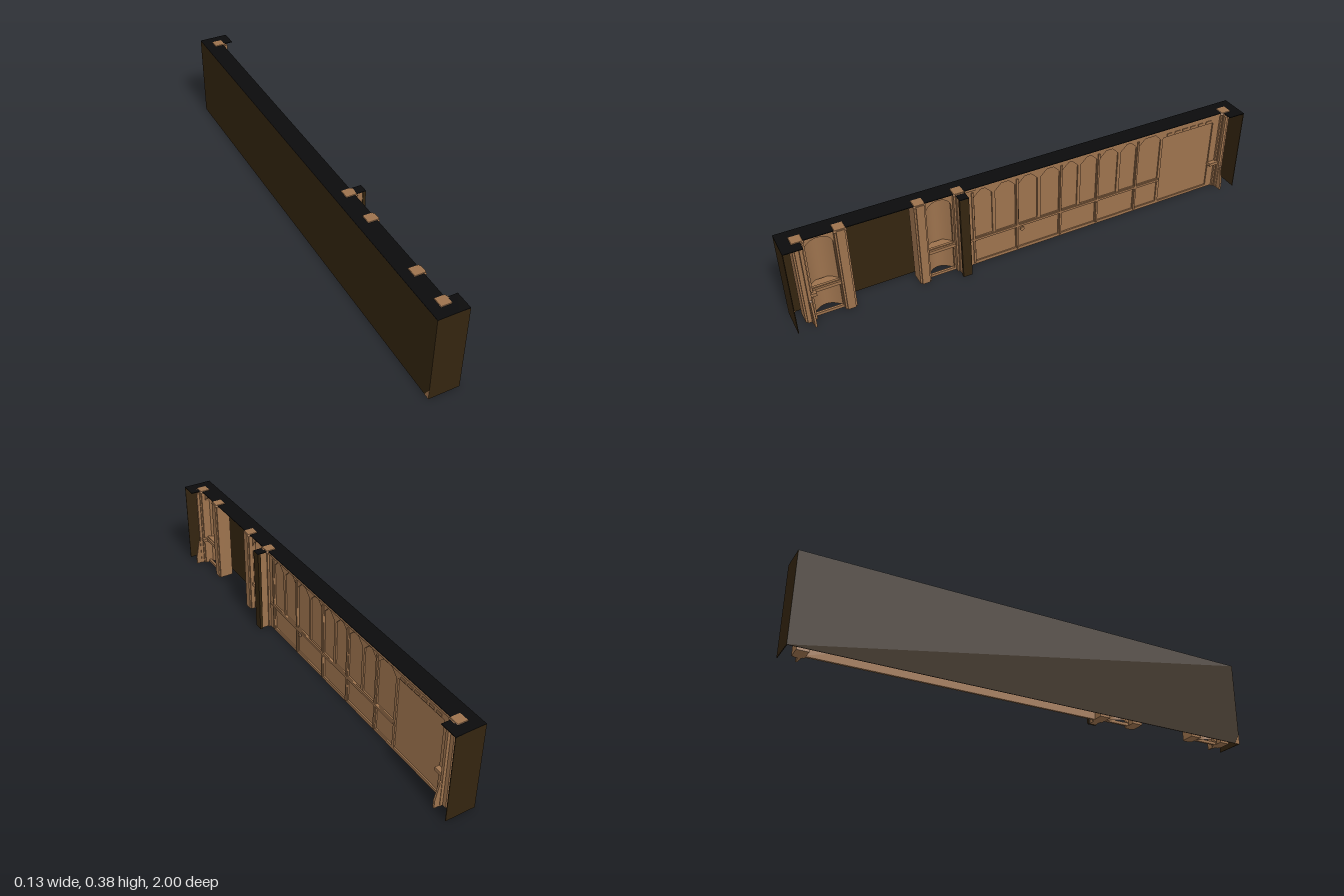
import * as THREE from 'three';

export function createModel() {
  const model = new THREE.Group();
  const mat = (name, color, side = THREE.FrontSide) => {
    const m = new THREE.MeshStandardMaterial({ color, side });
    m.name = name;
    return m;
  };
  const brown = mat('warm brown', 0x9c724d, THREE.DoubleSide);
  const dark = mat('dark brown', 0x33240f, THREE.DoubleSide);
  const black = mat('black', 0x0b0b0c);

  const add = (name, geometry, material) => {
    const mesh = new THREE.Mesh(geometry, material);
    mesh.name = name;
    model.add(mesh);
    return mesh;
  };
  // Box given by its limits on each axis
  const box = (name, material, x0, x1, y0, y1, z0, z1) => {
    const g = new THREE.BoxGeometry(x1 - x0, y1 - y0, z1 - z0);
    g.translate((x0 + x1) / 2, (y0 + y1) / 2, (z0 + z1) / 2);
    return add(name, g, material);
  };
  // Plate drawn as [z, y] outlines and extruded along x
  const path = (pts, Type) => new Type(pts.map(([z, y]) => new THREE.Vector2(-z, y)));
  const plate = (name, material, outline, holes, x0, depth) => {
    const shape = path(outline, THREE.Shape);
    shape.holes = holes.map((h) => path(h, THREE.Path));
    const g = new THREE.ExtrudeGeometry(shape, { depth, bevelEnabled: false });
    g.rotateY(Math.PI / 2);
    g.translate(x0, 0, 0);
    return add(name, g, material);
  };
  const rect = (z0, z1, y0, y1) => [[z0, y0], [z1, y0], [z1, y1], [z0, y1]];
  // Opening with clipped upper corners
  const clipped = (z0, z1, y0, y1, c) =>
    [[z0, y0], [z1, y0], [z1, y1 - c], [z1 - c, y1], [z0 + c, y1], [z0, y1 - c]];

  // Shell: back, ends and top, open underneath
  const W = 0.0625, H = 0.376;
  box('backWall', dark, -W, -W + 0.003, 0, H - 0.001, -1, 1);
  for (const s of [-1, 1]) {
    const inner = s * 0.997, outer = s;
    box('endWall', dark, -W, W, 0, H - 0.001, Math.min(inner, outer), Math.max(inner, outer));
    const a = s * 0.925;
    box('endTop', black, 0.015, W, H - 0.003, H, Math.min(a, outer), Math.max(a, outer));
  }
  box('topPlate', black, -W, 0.015, H - 0.003, H, -1, 1);
  plate('cornerChip', brown, [[1, 0], [1, 0.045], [0.975, 0]], [], -W - 0.0005, 0.005);

  // Main wall sheet with a raised frame of ribs
  box('mainWall', brown, 0.001, 0.005, 0, 0.373, -0.93, 0.3);
  const major = [0.255, 0.063, -0.135, -0.31, -0.5, -0.62];
  const ribs = [0.255, 0.165, 0.063, -0.035, -0.135, -0.22, -0.31, -0.41, -0.5, -0.62];
  const holes = [rect(-0.882, -0.625, 0.012, 0.335)];
  for (let i = 0; i < major.length - 1; i++) {
    holes.push(rect(major[i + 1] + 0.007, major[i] - 0.007, 0.014, 0.119));
  }
  for (let i = 0; i < ribs.length - 1; i++) {
    holes.push(clipped(ribs[i + 1] + 0.007, ribs[i] - 0.007, 0.133, 0.358, 0.028));
  }
  plate('wallFrame', brown, rect(-0.92, 0.3, 0, 0.373), holes, 0.005, 0.006);
  // Heavier ribs and rail
  for (const z of major.slice(0, 5)) {
    box('mainRib', brown, 0.011, 0.016, 0.01, 0.355, z - 0.004, z + 0.004);
  }
  box('wallRail', brown, 0.011, 0.016, 0.121, 0.131, -0.62, 0.28);
  box('wallTopRail', brown, 0.005, 0.015, 0.364, 0.373, -0.92, 0.3);
  for (let i = 0; i < 6; i++) {
    const z = -0.655 - i * 0.04;
    box('topStud', brown, 0.011, 0.014, 0.341, 0.351, z - 0.013, z + 0.013);
  }
  // Small round fitting on the lower rail
  const knob = new THREE.CylinderGeometry(0.009, 0.009, 0.006, 12);
  knob.rotateZ(Math.PI / 2);
  knob.translate(0.013, 0.105, 0.042);
  add('wallKnob', knob, brown);

  // Two hollow bays between columns, each with an arched frame
  for (const [z0, z1] of [[0.335, 0.452], [0.798, 0.92]]) {
    const mid = (z0 + z1) / 2, half = (z1 - z0) / 2, r = half - 0.006;
    const arch = [[mid - r, 0.14], [mid + r, 0.14]];
    for (let i = 0; i <= 12; i++) {
      const t = (i / 12) * Math.PI;
      arch.push([mid + r * Math.cos(t), 0.315 + 0.045 * Math.sin(t)]);
    }
    plate('bayFrame', brown, rect(z0, z1, 0, 0.373),
      [arch, rect(mid - r, mid + r, 0.012, 0.122)], -0.006, 0.01);
    // Hollow back, curved in plan
    const hollow = new THREE.PlaneGeometry(half * 2, 0.373, 12, 1);
    hollow.rotateY(Math.PI / 2);
    const p = hollow.attributes.position;
    for (let i = 0; i < p.count; i++) {
      const u = p.getZ(i) / half;
      p.setXYZ(i, -0.006 - 0.04 * (1 - u * u), p.getY(i) + 0.1865, p.getZ(i) + mid);
    }
    hollow.computeVertexNormals();
    add('bayHollow', hollow, brown);
    box('bayRail', brown, -0.04, 0.012, 0.122, 0.136, z0, z1);
  }

  // Columns with caps standing just above the top
  for (const z of [0.935, 0.778, 0.472, 0.312, -0.937]) {
    box('column', brown, -0.04, 0.02, 0, 0.373, z - 0.023, z + 0.023);
    box('columnFace', brown, 0.02, 0.026, 0, 0.376, z - 0.016, z + 0.016);
    const cap = new THREE.CylinderGeometry(0.029, 0.035, 0.008, 4);
    cap.rotateY(Math.PI / 4);
    cap.translate(0, 0.3745, z);
    add('columnCap', cap.toNonIndexed(), brown);
  }

  // Thin wings and feet at both ends
  for (const s of [-1, 1]) {
    const z = s * 0.93;
    box('endWing', brown, 0, 0.038, 0, 0.365, z - 0.006, z + 0.006);
    const foot = new THREE.Shape([[0.03, 0], [0.061, 0], [0.061, 0.035], [0.045, 0.11], [0.03, 0.12]]
      .map(([x, y]) => new THREE.Vector2(x, y)));
    const g = new THREE.ExtrudeGeometry(foot, { depth: 0.008, bevelEnabled: false });
    g.translate(0, 0, z - 0.004);
    add('endFoot', g, brown);
    box('endRail', brown, 0.005, 0.03, 0.12, 0.134, s > 0 ? 0.9 : -0.925, s > 0 ? 0.925 : -0.88);
  }

  // Deep dividing post with a dark outer face
  box('postBody', brown, 0.01, 0.05, 0, 0.372, 0.296, 0.326);
  box('postFace', dark, 0.05, W, 0, 0.373, 0.291, 0.329);
  box('postTop', black, 0.015, W, 0.373, H, 0.291, 0.329);

  return model;
}
